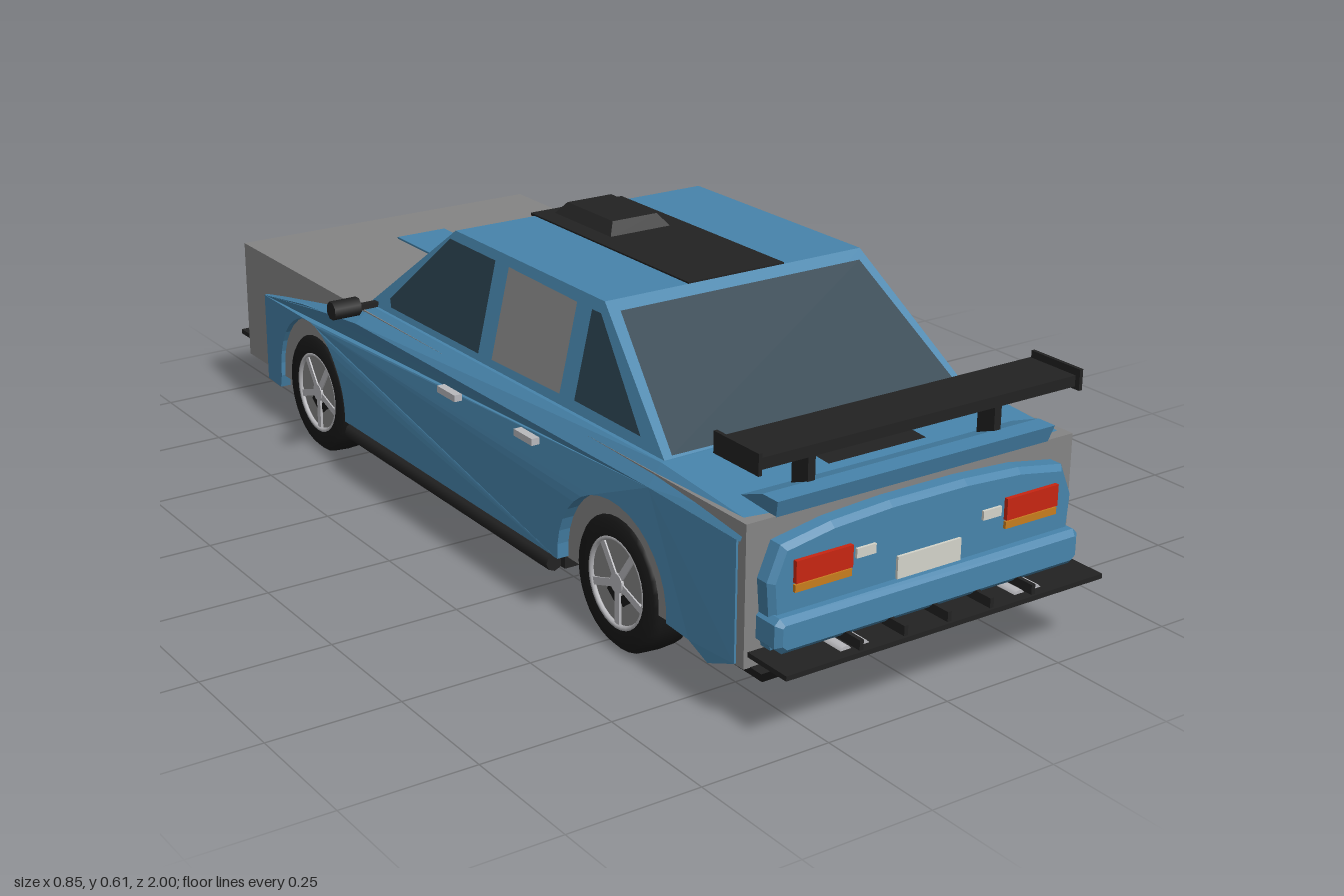
import * as THREE from 'three';

const mat = (name, color, side = THREE.FrontSide) => {
  const m = new THREE.MeshStandardMaterial({ color, side });
  m.name = name;
  return m;
};

export function createModel() {
  const car = new THREE.Group();
  car.name = 'car';
  const D = THREE.DoubleSide;
  const blue = mat('blue paint', 0x4784ab, D);
  const gray = mat('bare gray', 0x858585, D);
  const glass = mat('dark glass', 0x293f4c, D);
  const black = mat('black trim', 0x222222, D);
  const rubber = mat('tyre rubber', 0x191919);
  const silver = mat('silver', 0xb9b9bd);
  const red = mat('red lens', 0xc82612);
  const amber = mat('amber lens', 0xc87d1e);
  const white = mat('off white', 0xd4d4ca);

  const add = (name, geo, material, parent = car) => {
    const m = new THREE.Mesh(geo, material);
    m.name = name;
    parent.add(m);
    return m;
  };
  // Box given by its limits
  const box = (name, m, x0, x1, y0, y1, z0, z1) => {
    const g = new THREE.BoxGeometry(x1 - x0, y1 - y0, z1 - z0);
    g.translate((x0 + x1) / 2, (y0 + y1) / 2, (z0 + z1) / 2);
    return add(name, g, m);
  };
  const pair = (name, m, x0, x1, ...r) => {
    box(name + 'Left', m, x0, x1, ...r);
    box(name + 'Right', m, -x1, -x0, ...r);
  };
  // Tapered block: bottom and top rectangles [halfWidth, y, zBack, zFront]
  const frustum = (name, m, bottom, top) => {
    const g = new THREE.BoxGeometry(2, 2, 2).toNonIndexed();
    const p = g.attributes.position;
    for (let i = 0; i < p.count; i++) {
      const [w, y, z0, z1] = p.getY(i) < 0 ? bottom : top;
      p.setXYZ(i, p.getX(i) * w, y, p.getZ(i) < 0 ? z0 : z1);
    }
    g.computeVertexNormals();
    return add(name, g, m);
  };
  // Flat polygon in space, drawn as a fan
  const plate = (name, m, pts) => {
    const v = [];
    for (let i = 1; i < pts.length - 1; i++) v.push(...pts[0], ...pts[i], ...pts[i + 1]);
    const g = new THREE.BufferGeometry();
    g.setAttribute('position', new THREE.Float32BufferAttribute(v, 3));
    g.computeVertexNormals();
    return add(name, g, m);
  };
  // Upright end panel: outline in x/y, extruded along z
  const panel = (name, m, half, z0, z1) => {
    const pts = [...half, ...half.map(([x, y]) => [-x, y]).reverse()];
    const g = new THREE.ExtrudeGeometry(new THREE.Shape(pts.map(p => new THREE.Vector2(...p))),
      { depth: z1 - z0 - 0.02, bevelEnabled: true, bevelSize: 0.01, bevelThickness: 0.01, bevelOffset: -0.01, bevelSegments: 1 });
    g.translate(0, 0, z0 + 0.01);
    return add(name, g, m);
  };

  // Core of the body
  box('bodyCore', gray, -0.348, 0.348, 0.115, 0.367, -0.9, 0.9);
  box('undertray', black, -0.352, 0.352, 0.092, 0.118, -0.4, 0.38);

  // Painted sides with wheel arches
  const wheelZ = [0.543, -0.57], wheelY = 0.128;
  const width = z => 0.368 - 0.019 * THREE.MathUtils.clamp((Math.abs(z) - 0.45) / 0.38, 0, 1);
  const arch = cz => {
    const r = 0.158, a0 = Math.asin((0.118 - wheelY) / r), out = [];
    for (let i = 0; i <= 18; i++) {
      const a = a0 + (Math.PI - 2 * a0) * i / 18;
      out.push([cz + r * Math.cos(a), wheelY + r * Math.sin(a)]);
    }
    return out;
  };
  const outline = [[0.88, 0.335], [0.88, 0.118], [0.81, 0.09], [0.76, 0.112], ...arch(wheelZ[0]),
    ...arch(wheelZ[1]), [-0.735, 0.09], [-0.8, 0.09], [-0.8, 0.278], [-0.6, 0.315], [-0.35, 0.345], [0.65, 0.345]];
  for (const s of [1, -1]) {
    const shape = new THREE.Shape(outline.map(([z, y]) => new THREE.Vector2(-s * z, y)));
    const g = new THREE.ExtrudeGeometry(shape, { depth: 1, bevelEnabled: false });
    g.rotateY(s * Math.PI / 2);
    const p = g.attributes.position;
    for (let i = 0; i < p.count; i++)
      p.setX(i, s * (Math.abs(p.getX(i)) > 0.5 ? width(p.getZ(i)) + 0.003 : 0.335));
    g.computeVertexNormals();
    add(s > 0 ? 'sidePanelLeft' : 'sidePanelRight', g, blue);
  }

  // Shoulders, bonnet and boot skin: [z, edge height, top height, crown height]
  const stations = [[0.89, 0.335, 0.366, 0.37], [0.65, 0.345, 0.383, 0.386], [-0.35, 0.345, 0.376, 0.385],
    [-0.5, 0.327, 0.345, 0.36], [-0.8, 0.278, 0.283, 0.3]];
  const rows = stations.map(([z, e, t, c]) => {
    const w = width(z) + 0.003;
    return [[w, e, z], [0.335, t, z], [0, c, z], [-0.335, t, z], [-w, e, z]];
  });
  const skin = [];
  for (let i = 0; i < rows.length - 1; i++) for (let j = 0; j < 4; j++) {
    const a = rows[i][j], b = rows[i + 1][j], c = rows[i + 1][j + 1], d = rows[i][j + 1];
    skin.push(...a, ...b, ...c, ...a, ...c, ...d);
  }
  const skinGeo = new THREE.BufferGeometry();
  skinGeo.setAttribute('position', new THREE.Float32BufferAttribute(skin, 3));
  skinGeo.computeVertexNormals();
  add('upperSkin', skinGeo, blue);

  // Cabin and windows
  frustum('cabin', blue, [0.331, 0.365, -0.383, 0.669], [0.28, 0.582, -0.105, 0.4]);
  const cabinX = y => 0.28 + (0.582 - y) * 0.235 + 0.003;
  const frontZ = y => -0.105 - (0.582 - y) * 1.281 - 0.004;
  const rearZ = y => 0.4 + (0.582 - y) * 1.24 + 0.004;
  const screen = (name, m, fz, y0, y1, w0, w1) =>
    plate(name, m, [[-w0, y0, fz(y0)], [w0, y0, fz(y0)], [w1, y1, fz(y1)], [-w1, y1, fz(y1)]]);
  screen('windscreen', gray, frontZ, 0.37, 0.568, 0.322, 0.275);
  screen('rearWindow', glass, rearZ, 0.388, 0.568, 0.31, 0.262);
  const windows = {
    quarterWindow: [[0.575, 0.402], [0.4, 0.562], [0.372, 0.562], [0.372, 0.402]],
    rearDoorWindow: [[0.325, 0.4], [0.325, 0.562], [0.097, 0.565], [0.097, 0.395]],
    frontDoorWindow: [[0.05, 0.393], [0.05, 0.565], [-0.115, 0.565], [-0.29, 0.405], [-0.28, 0.39]],
  };
  for (const s of [1, -1]) for (const [name, pts] of Object.entries(windows)) {
    const bare = name === (s > 0 ? 'quarterWindow' : 'rearDoorWindow');
    plate(name + (s > 0 ? 'Left' : 'Right'), bare ? gray : glass, pts.map(([z, y]) => [s * cabinX(y), y, z]));
  }

  // Stripes, roof scoop and bonnet details
  box('roofStripe', black, -0.105, 0.105, 0.58, 0.585, -0.12, 0.4);
  plate('bootStripe', black, [[-0.105, 0.389, 0.66], [0.105, 0.389, 0.66], [0.105, 0.38, 0.8], [-0.105, 0.38, 0.8]]);
  frustum('roofScoop', black, [0.068, 0.583, -0.095, 0.1], [0.05, 0.608, -0.075, 0.08]);
  box('bonnetVent', black, -0.102, 0.102, 0.36, 0.382, -0.51, -0.41);
  box('bonnetBulge', blue, -0.058, 0.058, 0.35, 0.371, -0.745, -0.58);

  // Mirrors, handles and sills
  pair('mirrorArm', black, 0.32, 0.38, 0.376, 0.386, -0.35, -0.335);
  pair('handleRear', silver, 0.365, 0.381, 0.312, 0.325, 0.26, 0.32);
  pair('handleFront', silver, 0.365, 0.381, 0.309, 0.322, -0.012, 0.052);
  for (const s of [1, -1]) {
    const mirror = add('mirror', new THREE.CylinderGeometry(0.021, 0.021, 0.058, 8), black);
    mirror.rotation.set(0, Math.PI / 8, s * Math.PI / 2, 'ZYX');
    mirror.scale.set(0.9, 1, 0.9);
    mirror.position.set(s * 0.397, 0.383, -0.345);
    const sill = add('sill', new THREE.CylinderGeometry(0.017, 0.017, 0.76, 8), black);
    sill.rotation.x = Math.PI / 2;
    sill.position.set(s * 0.366, 0.104, -0.012);
  }

  // Rear end
  panel('rearFascia', blue, [[0.315, 0.15], [0.325, 0.27], [0.3, 0.33], [0.2, 0.347], [0.08, 0.354]], 0.88, 0.935);
  panel('rearBumper', blue, [[0.31, 0.152], [0.325, 0.165], [0.325, 0.205], [0.315, 0.215]], 0.88, 0.958);
  pair('tailLight', red, 0.165, 0.28, 0.264, 0.303, 0.92, 0.943);
  pair('indicator', amber, 0.165, 0.28, 0.248, 0.261, 0.92, 0.941);
  pair('reverseLight', white, 0.115, 0.155, 0.275, 0.292, 0.92, 0.94);
  box('rearPlate', white, -0.068, 0.068, 0.216, 0.256, 0.93, 0.94);
  frustum('rearValance', black, [0.31, 0.082, 0.7, 0.9], [0.335, 0.116, 0.69, 0.93]);
  box('rearDiffuser', black, -0.34, 0.34, 0.135, 0.144, 0.88, 1);
  for (let i = -2; i <= 2; i++) box('diffuserFin', black, i * 0.0925 - 0.004, i * 0.0925 + 0.004, 0.14, 0.162, 0.9, 0.995);
  for (const x of [-0.205, -0.168, 0.168, 0.205]) {
    const pipe = add('exhaust', new THREE.CylinderGeometry(0.012, 0.012, 0.1, 12), silver);
    pipe.rotation.x = Math.PI / 2;
    pipe.position.set(x, 0.139, 0.93);
  }
  frustum('bootLip', blue, [0.29, 0.365, 0.79, 0.9], [0.295, 0.396, 0.87, 0.91]);

  // Rear wing
  box('wingBlade', black, -0.34, 0.34, 0.458, 0.478, 0.8, 0.91);
  pair('wingEndPlate', black, 0.335, 0.342, 0.453, 0.491, 0.802, 0.92);
  pair('wingPost', black, 0.191, 0.206, 0.375, 0.462, 0.83, 0.872);

  // Front end
  panel('frontFascia', blue, [[0.305, 0.15], [0.315, 0.25], [0.29, 0.295], [0.15, 0.312], [0.06, 0.316]], -0.945, -0.88);
  panel('frontBumper', blue, [[0.3, 0.145], [0.315, 0.16], [0.315, 0.205], [0.305, 0.215]], -0.972, -0.88);
  pair('headlight', white, 0.15, 0.265, 0.236, 0.268, -0.955, -0.93);
  box('grille', black, -0.128, 0.128, 0.232, 0.27, -0.952, -0.93);
  for (let i = 0; i < 11; i++) box('grilleBar', silver, i * 0.022 - 0.113, i * 0.022 - 0.107, 0.238, 0.264, -0.955, -0.95);
  pair('fogRecess', black, 0.165, 0.26, 0.175, 0.207, -0.976, -0.96);
  box('frontPlate', white, -0.066, 0.066, 0.152, 0.19, -0.979, -0.97);
  frustum('frontValance', black, [0.31, 0.085, -0.9, -0.74], [0.33, 0.125, -0.93, -0.73]);
  box('frontSplitter', black, -0.32, 0.32, 0.127, 0.137, -1, -0.86);

  // Wheels
  const tyre = [[0.084, -0.043], [0.115, -0.043], [0.126, -0.032], [0.128, 0], [0.126, 0.032], [0.115, 0.043], [0.084, 0.043], [0.084, 0.03]];
  const tyreGeo = new THREE.LatheGeometry(tyre.map(p => new THREE.Vector2(...p)), 32);
  const disc = (r, h) => new THREE.CylinderGeometry(r, r, h, 28);
  for (const z of wheelZ) for (const s of [1, -1]) {
    const wheel = new THREE.Group();
    wheel.name = 'wheel';
    add('tyre', tyreGeo, rubber, wheel);
    add('rimDisc', disc(0.085, 0.07), gray, wheel);
    add('hub', disc(0.018, 0.084), silver, wheel);
    const ring = add('rimRing', new THREE.TorusGeometry(0.081, 0.005, 6, 32), silver, wheel);
    ring.rotation.x = Math.PI / 2;
    ring.position.y = -0.038;
    for (let i = 0; i < 5; i++) {
      const a = i * Math.PI * 0.4;
      const spoke = add('spoke', new THREE.BoxGeometry(0.07, 0.008, 0.014), silver, wheel);
      spoke.position.set(Math.cos(a) * 0.045, -0.036, Math.sin(a) * 0.045);
      spoke.rotation.y = -a;
      const gap = add('spokeGap', new THREE.BoxGeometry(0.018, 0.004, 0.03), rubber, wheel);
      gap.position.set(Math.cos(a + 0.628) * 0.032, -0.034, Math.sin(a + 0.628) * 0.032);
      gap.rotation.y = -a - 0.628;
    }
    wheel.rotation.z = s * Math.PI / 2;
    wheel.position.set(s * 0.311, wheelY, z);
    car.add(wheel);
  }
  return car;
}
